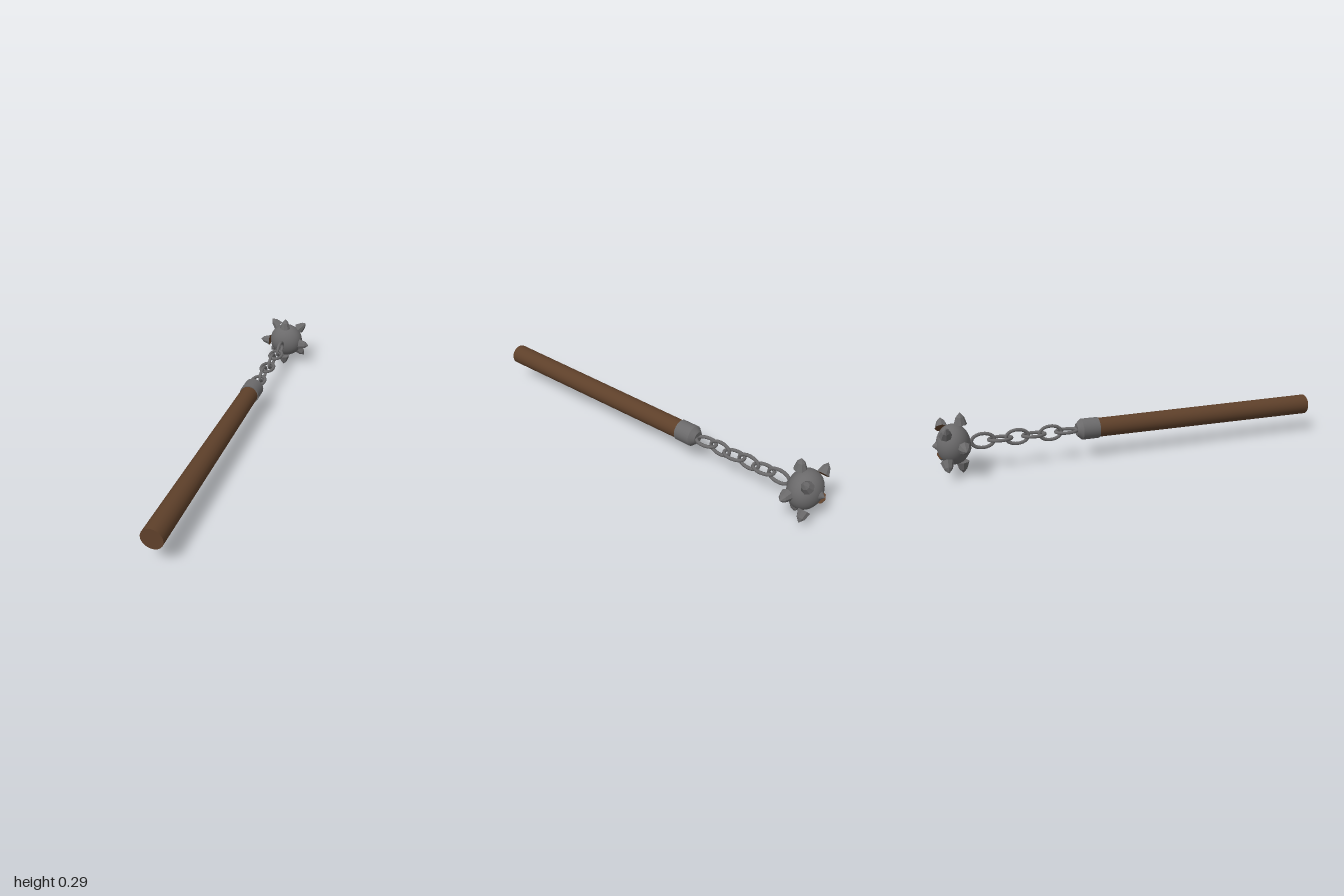
import * as THREE from 'three';

const steel = new THREE.MeshStandardMaterial({ color: 0x6b6a6b });
steel.name = 'steel';
const facetedSteel = steel.clone();
facetedSteel.name = 'faceted steel';
facetedSteel.flatShading = true;
const wood = new THREE.MeshStandardMaterial({ color: 0x5e402a });
wood.name = 'brown wood';

const AXIS_Y = 0.148;
const BALL_Z = -0.903;

function add(parent, name, geometry, material) {
  const mesh = new THREE.Mesh(geometry, material);
  mesh.name = name;
  parent.add(mesh);
  return mesh;
}

// Cylinder lying along z, from zBack to zFront
function rod(parent, name, rFront, rBack, zFront, zBack, material) {
  const geometry = new THREE.CylinderGeometry(rFront, rBack, zFront - zBack, 24);
  geometry.rotateX(Math.PI / 2);
  return add(parent, name, geometry, material).translateZ((zFront + zBack) / 2);
}

// Oval chain link, long along z, flat in the xz plane
function linkGeometry() {
  const points = [];
  for (let i = 0; i < 20; i++) {
    const a = (i / 20) * Math.PI * 2;
    points.push(new THREE.Vector3(Math.cos(a) * 0.034, 0, Math.sin(a) * 0.054));
  }
  const curve = new THREE.CatmullRomCurve3(points, true);
  return new THREE.TubeGeometry(curve, 28, 0.0085, 8, true);
}

// Stubby faceted spike growing along +y from its base
function makeSpike(name, baseMaterial) {
  const spike = new THREE.Group();
  spike.name = name;
  const profile = [[0.031, 0], [0.019, 0.036], [0, 0.057]].map(p => new THREE.Vector2(...p));
  add(spike, 'spikePoint', new THREE.LatheGeometry(profile, 8), facetedSteel);
  const base = new THREE.CircleGeometry(0.031, 8);
  base.rotateX(Math.PI / 2);
  add(spike, 'spikeBase', base, baseMaterial);
  return spike;
}

export function createModel() {
  const model = new THREE.Group();
  model.name = 'flail';
  const body = new THREE.Group();
  body.name = 'flailBody';
  body.position.y = AXIS_Y;
  model.add(body);

  // Handle and its metal cap
  rod(body, 'handle', 0.052, 0.047, 1, -0.21, wood);
  rod(body, 'collar', 0.052, 0.052, -0.2, -0.285, steel);
  rod(body, 'collarTip', 0.052, 0.03, -0.285, -0.31, steel);

  // Chain of alternating links
  const link = linkGeometry();
  for (let i = 0; i < 6; i++) {
    const mesh = add(body, 'chainLink', link, steel);
    mesh.position.z = -0.36 - i * 0.0815;
    mesh.rotation.z = (i % 2) * Math.PI / 2;
  }

  // Slightly flattened ball with a low point at the back
  const ball = new THREE.SphereGeometry(0.095, 32, 20);
  ball.rotateX(Math.PI / 2);
  ball.scale(1, 1, 0.82);
  add(body, 'ball', ball, steel).position.z = BALL_Z;
  const point = new THREE.ConeGeometry(0.052, 0.052, 16, 1, true);
  point.rotateX(-Math.PI / 2);
  add(body, 'backPoint', point, steel).position.z = -0.974;

  // Two staggered rings of four spikes
  for (let i = 0; i < 8; i++) {
    const diagonal = i % 2 === 1;
    const angle = (i * Math.PI) / 4;
    const spike = makeSpike('spike', diagonal || i === 2 ? wood : facetedSteel);
    spike.rotation.z = angle;
    spike.position.set(-Math.sin(angle) * 0.09, Math.cos(angle) * 0.09, diagonal ? -0.944 : -0.866);
    body.add(spike);
  }
  return model;
}
